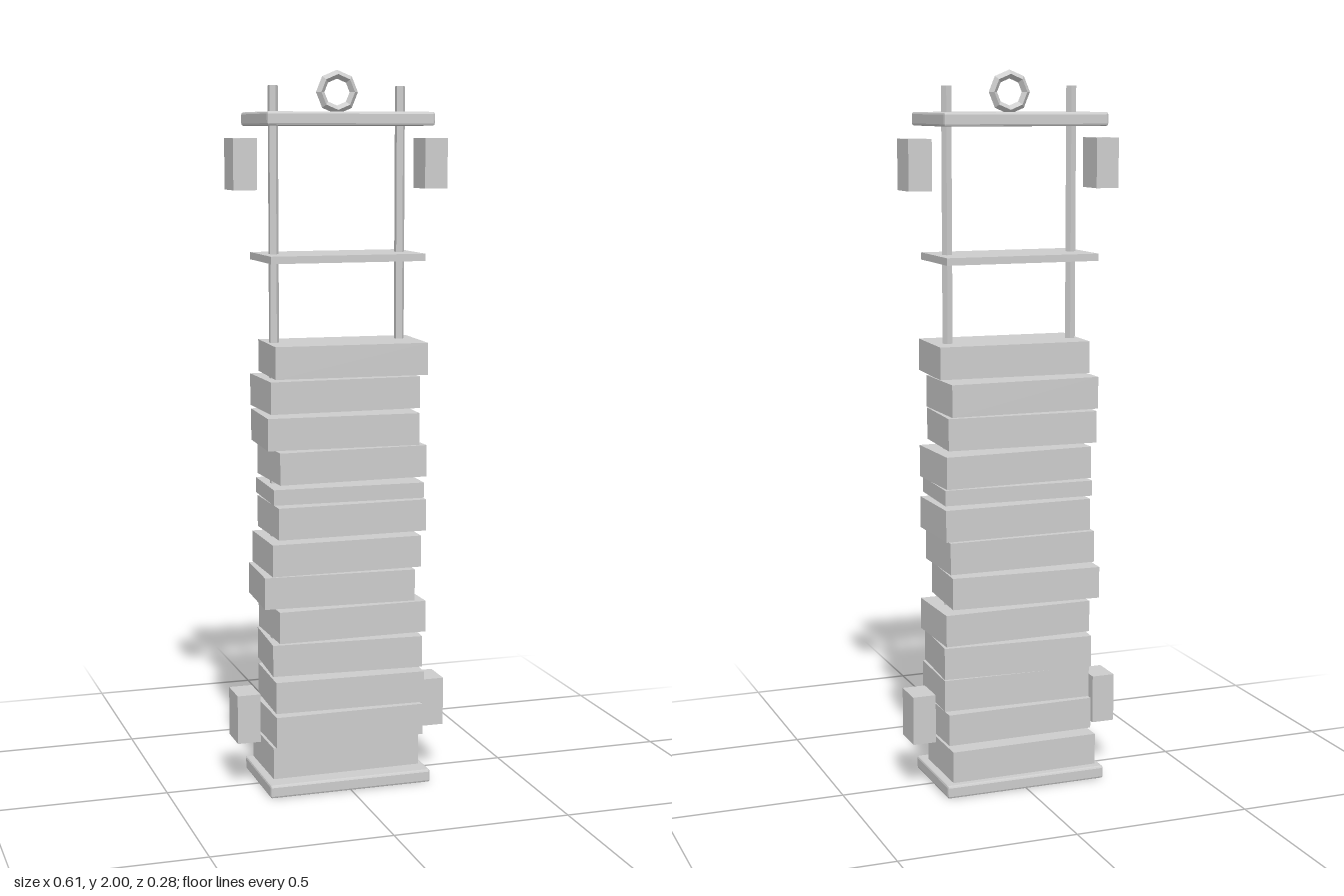
import * as THREE from 'three';
import { RoundedBoxGeometry } from 'three/addons/geometries/RoundedBoxGeometry.js';

const paleGrey = new THREE.MeshStandardMaterial({ color: 0xcccccc });
paleGrey.name = 'paleGrey';

// Faceted normals for low-poly parts
function faceted(geometry) {
  const flat = geometry.index ? geometry.toNonIndexed() : geometry;
  flat.computeVertexNormals();
  return flat;
}

export function createModel() {
  const model = new THREE.Group();
  model.name = 'weightStack';

  function add(name, geometry, x, y, z, turn = 0) {
    const mesh = new THREE.Mesh(geometry, paleGrey);
    mesh.name = name;
    mesh.position.set(x, y, z);
    mesh.rotation.y = turn;
    model.add(mesh);
    return mesh;
  }

  // Bevelled end plates
  const endPlate = faceted(new RoundedBoxGeometry(0.471, 0.037, 0.277, 1, 0.006));
  add('basePlate', endPlate, 0, 0.0185, 0);
  add('topPlate', endPlate, 0, 1.868, 0);

  // Thin plate part-way up the rods
  add('middlePlate', new THREE.BoxGeometry(0.44, 0.02, 0.218), 0, 1.493, 0);

  // Stacked weights, each slightly shifted and turned: [x, z, turn]
  const shifts = [
    [0, -0.016, 0.01], [0.001, 0.015, 0.012], [0.006, 0.016, -0.03],
    [0.009, -0.008, -0.06], [0.016, -0.006, 0.018], [-0.017, -0.001, -0.048],
    [-0.008, 0.018, 0.004], [0.013, 0, 0.016], [0.004, 0.008, -0.03],
    [0.018, -0.014, 0.035], [-0.01, 0.01, -0.045], [-0.003, -0.013, 0.01],
    [0.01, 0.018, -0.045],
  ];
  let bottom = 0.04;
  shifts.forEach(([x, z, turn], i) => {
    const thin = i === 8;
    const height = thin ? 0.043 : 0.089;
    add(`weight${i + 1}`, new THREE.BoxGeometry(0.431, height, 0.211), x, bottom + height / 2, z, turn);
    bottom += thin ? 0.053 : 0.098;
  });

  // Five-sided guide rods and side blocks, mirrored left and right
  const rod = faceted(new THREE.CylinderGeometry(0.0145, 0.0145, 1.937, 5, 1, false, Math.PI / 2));
  const block = new THREE.BoxGeometry(0.066, 0.138, 0.096);
  for (const [side, s] of [['left', 1], ['right', -1]]) {
    add(`${side}Rod`, rod, s * 0.182, 0.02 + 1.937 / 2, 0);
    add(`${side}LowerBlock`, block, s * 0.273, 0.207, 0);
    add(`${side}UpperBlock`, block, s * 0.273, 1.747, 0);
  }

  // Lifting ring
  add('liftingRing', faceted(new THREE.TorusGeometry(0.048, 0.012, 4, 8)), 0, 1.94, 0);

  return model;
}
